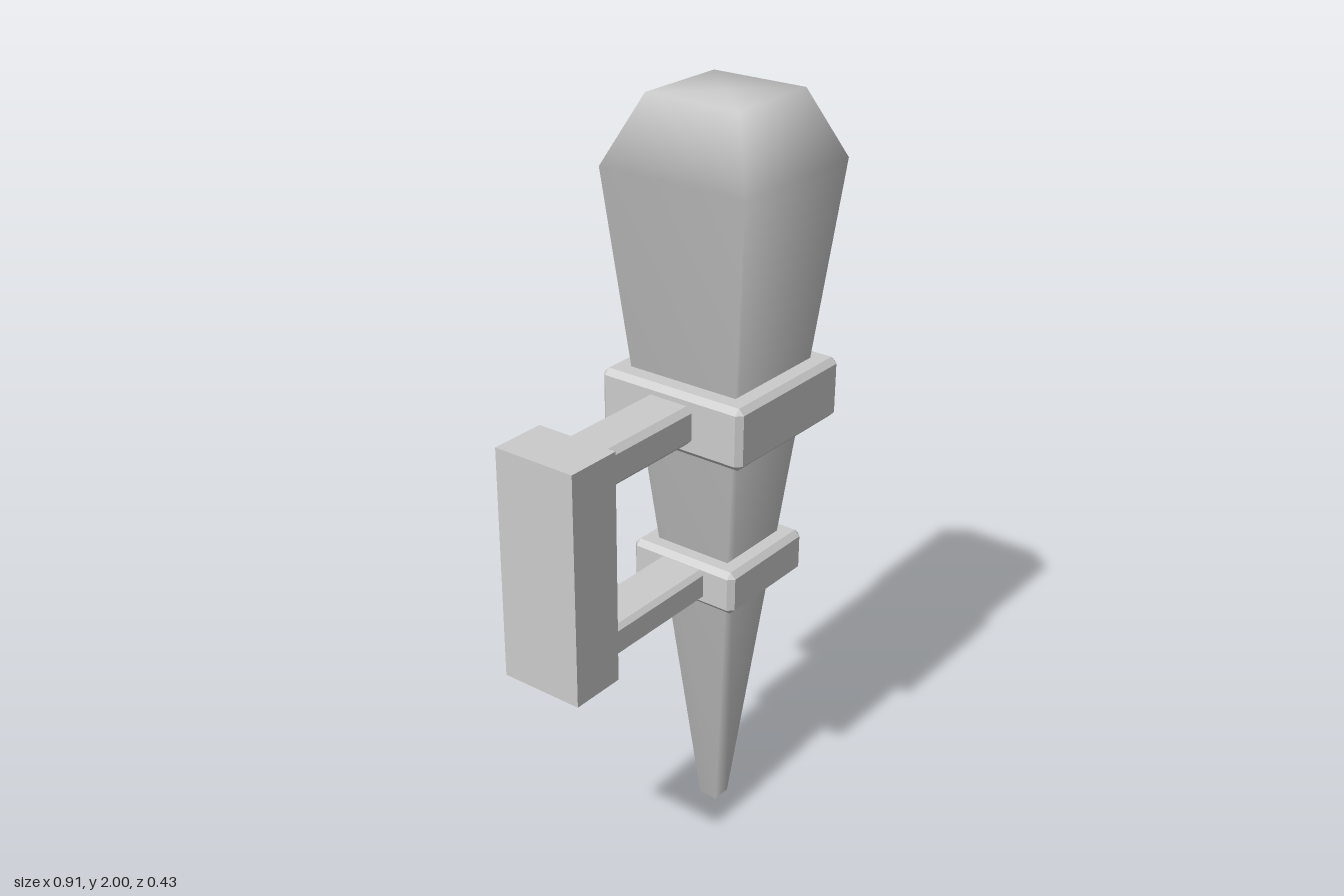
import * as THREE from 'three';
import { ConvexGeometry } from 'three/addons/geometries/ConvexGeometry.js';

const material = new THREE.MeshStandardMaterial({ color: 0xcccccc });

// Box with all edges and corners cut off by c, given by its bounds
function chamferedBox(name, [x0, x1], [y0, y1], halfZ, c) {
  const a = (x1 - x0) / 2, b = (y1 - y0) / 2;
  const points = [];
  for (const sx of [-1, 1]) for (const sy of [-1, 1]) for (const sz of [-1, 1]) {
    points.push(
      new THREE.Vector3(sx * a, sy * (b - c), sz * (halfZ - c)),
      new THREE.Vector3(sx * (a - c), sy * b, sz * (halfZ - c)),
      new THREE.Vector3(sx * (a - c), sy * (b - c), sz * halfZ)
    );
  }
  const mesh = new THREE.Mesh(new ConvexGeometry(points), material);
  mesh.name = name;
  mesh.position.set((x0 + x1) / 2, (y0 + y1) / 2, 0);
  return mesh;
}

export function createModel() {
  const group = new THREE.Group();
  group.name = 'wallTorch';

  // Tapering square shaft: [half width, height], softly shaded
  const profile = [[0, 0], [0.027, 0], [0.21, 1.83], [0.133, 2], [0, 2]]
    .map(([w, y]) => new THREE.Vector2(w * Math.SQRT2, y));
  const shaft = new THREE.Mesh(new THREE.LatheGeometry(profile, 4, Math.PI / 4), material);
  shaft.name = 'shaft';
  shaft.position.x = 0.244;
  group.add(shaft);

  // Bands round the shaft
  group.add(chamferedBox('upperBand', [0.03, 0.456], [1.157, 1.32], 0.213, 0.015));
  group.add(chamferedBox('lowerBand', [0.085, 0.402], [0.712, 0.832], 0.16, 0.015));

  // Arms from the wall plate into the bands
  group.add(chamferedBox('upperArm', [-0.33, 0.1], [1.19, 1.292], 0.07, 0.015));
  group.add(chamferedBox('lowerArm', [-0.33, 0.15], [0.73, 0.816], 0.07, 0.012));

  // Wall plate
  const plate = new THREE.Mesh(new THREE.BoxGeometry(0.15, 0.608, 0.226), material);
  plate.name = 'wallPlate';
  plate.position.set(-0.383, 1.015, 0);
  group.add(plate);

  return group;
}
